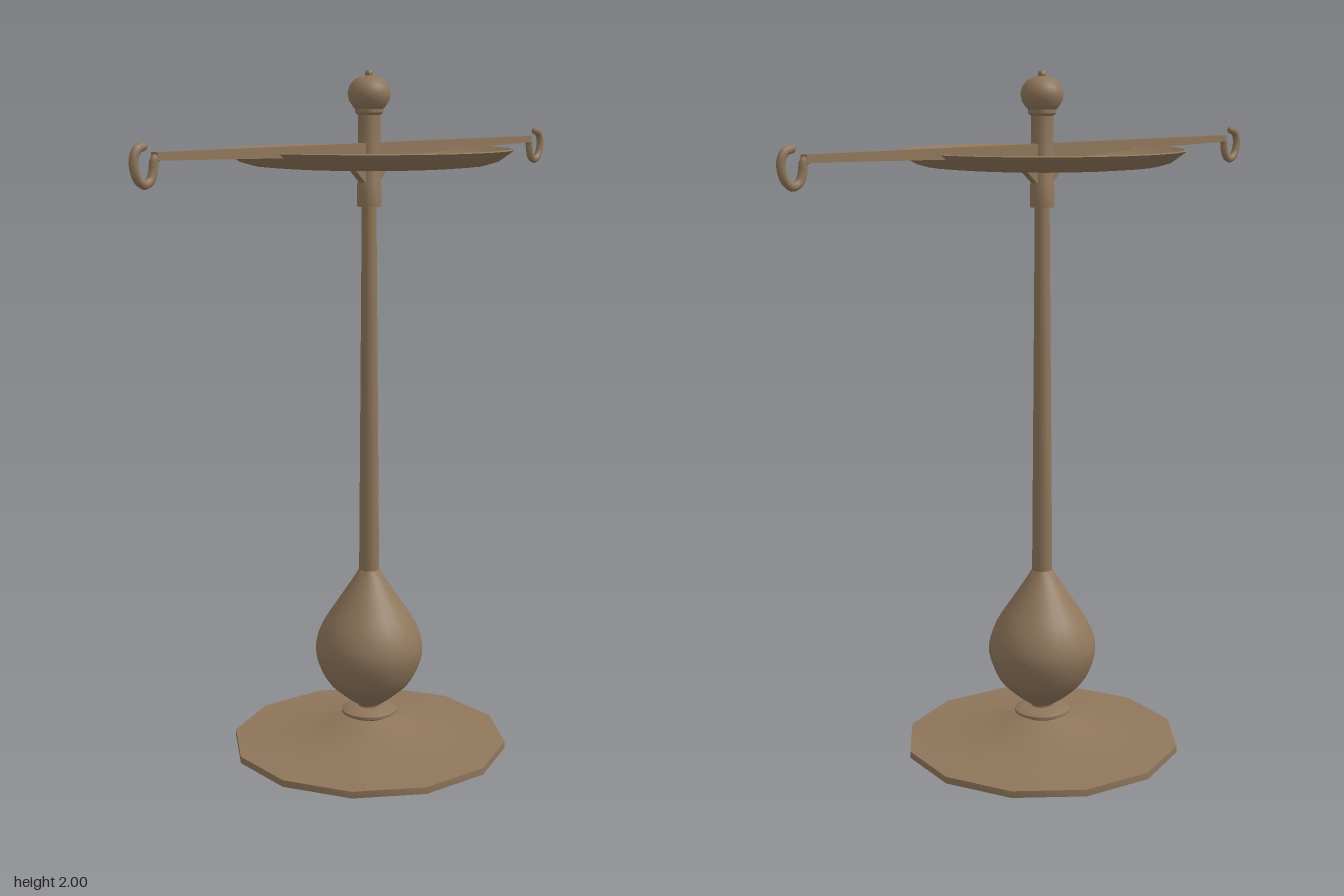
import * as THREE from 'three';
import { toCreasedNormals } from 'three/addons/utils/BufferGeometryUtils.js';

export function createModel() {
  const model = new THREE.Group();
  model.name = 'hookStand';
  const bronze = new THREE.MeshStandardMaterial({ color: 0x8f765b });
  bronze.name = 'bronze';

  const add = (name, geometry, parent = model) => {
    const mesh = new THREE.Mesh(geometry, bronze);
    mesh.name = name;
    parent.add(mesh);
    return mesh;
  };
  // Turned part from [radius, height] pairs, listed so that faces point outward
  const turned = (name, profile, sides = 24) => {
    const points = profile.map(([r, y]) => new THREE.Vector2(r, y));
    return add(name, toCreasedNormals(new THREE.LatheGeometry(points, sides), 0.7));
  };

  // Twelve-sided foot, hollow underneath
  turned('foot', [
    [0, 0.055], [0.03, 0.055], [0.1, 0.035], [0.2, 0.018], [0.4, 0.005], [0.41, 0.005],
    [0.41, 0.025], [0.3, 0.033], [0.2, 0.046], [0.12, 0.064], [0.07, 0.083], [0.03, 0.09],
  ], 12);
  turned('footNeck', [[0.033, 0.075], [0.033, 0.15]]);
  turned('ring', [[0, 0.095], [0.06, 0.095], [0.082, 0.106], [0.082, 0.114], [0.06, 0.125], [0, 0.125]]);

  // Pear-shaped bulb, smoothed through a few radii
  const bulb = new THREE.SplineCurve([
    [0.033, 0.13], [0.075, 0.16], [0.13, 0.215], [0.16, 0.3], [0.142, 0.375],
    [0.095, 0.45], [0.055, 0.51], [0.03, 0.55],
  ].map(([r, y]) => new THREE.Vector2(r, y)));
  turned('bulb', bulb.getPoints(24).map((p) => [p.x, p.y]));

  // Tapered pole and the sleeve that holds the beam
  turned('pole', [[0.03, 0.54], [0.021, 1.64]], 16);
  turned('sleeve', [[0, 1.62], [0.035, 1.62], [0.035, 1.68], [0.032, 1.69], [0.032, 1.89], [0, 1.89]], 16);
  turned('collar', [[0.032, 1.875], [0.04, 1.882], [0.04, 1.892], [0.032, 1.9]]);

  // Knob with a small tip
  turned('finial', [
    [0.032, 1.885], [0.045, 1.897], [0.057, 1.915], [0.061, 1.935], [0.056, 1.955],
    [0.042, 1.973], [0.022, 1.982], [0.011, 1.984], [0.012, 1.991], [0.008, 1.998], [0, 2],
  ]);

  // Shallow dish with a thin wall
  turned('dish', [
    [0, 1.732], [0.27, 1.732], [0.33, 1.737], [0.365, 1.747], [0.409, 1.779],
    [0.403, 1.782], [0.36, 1.755], [0.325, 1.745], [0.27, 1.74], [0, 1.74],
  ]);

  // Two mirrored arms, each a tapering bar with a bracket and an open hook
  const depth = 0.022;
  const bar = new THREE.Shape([
    [0, 1.675], [0.035, 1.69], [0.095, 1.738], [0.14, 1.755], [0.4, 1.768],
    [0.865, 1.778], [0.865, 1.798], [0, 1.798],
  ].map(([x, y]) => new THREE.Vector2(x, y)));
  const hookPath = new THREE.CatmullRomCurve3([
    [0.85, 1.787], [0.864, 1.782], [0.871, 1.75], [0.882, 1.729], [0.901, 1.721], [0.921, 1.732],
    [0.934, 1.758], [0.935, 1.785], [0.924, 1.805], [0.903, 1.813],
  ].map(([x, y]) => new THREE.Vector3(x, y, 0)));
  for (const side of [1, -1]) {
    const arm = new THREE.Group();
    arm.name = side > 0 ? 'leftArm' : 'rightArm';
    arm.rotation.y = side > 0 ? 0 : Math.PI;
    const barGeometry = new THREE.ExtrudeGeometry(bar, { depth, bevelEnabled: false });
    add('bar', barGeometry.translate(0, 0, -depth / 2), arm);
    add('hook', new THREE.TubeGeometry(hookPath, 32, 0.0115, 8), arm);
    const tip = add('hookTip', new THREE.SphereGeometry(0.0115, 8, 6), arm);
    tip.position.set(0.903, 1.813, 0);
    model.add(arm);
  }
  return model;
}
